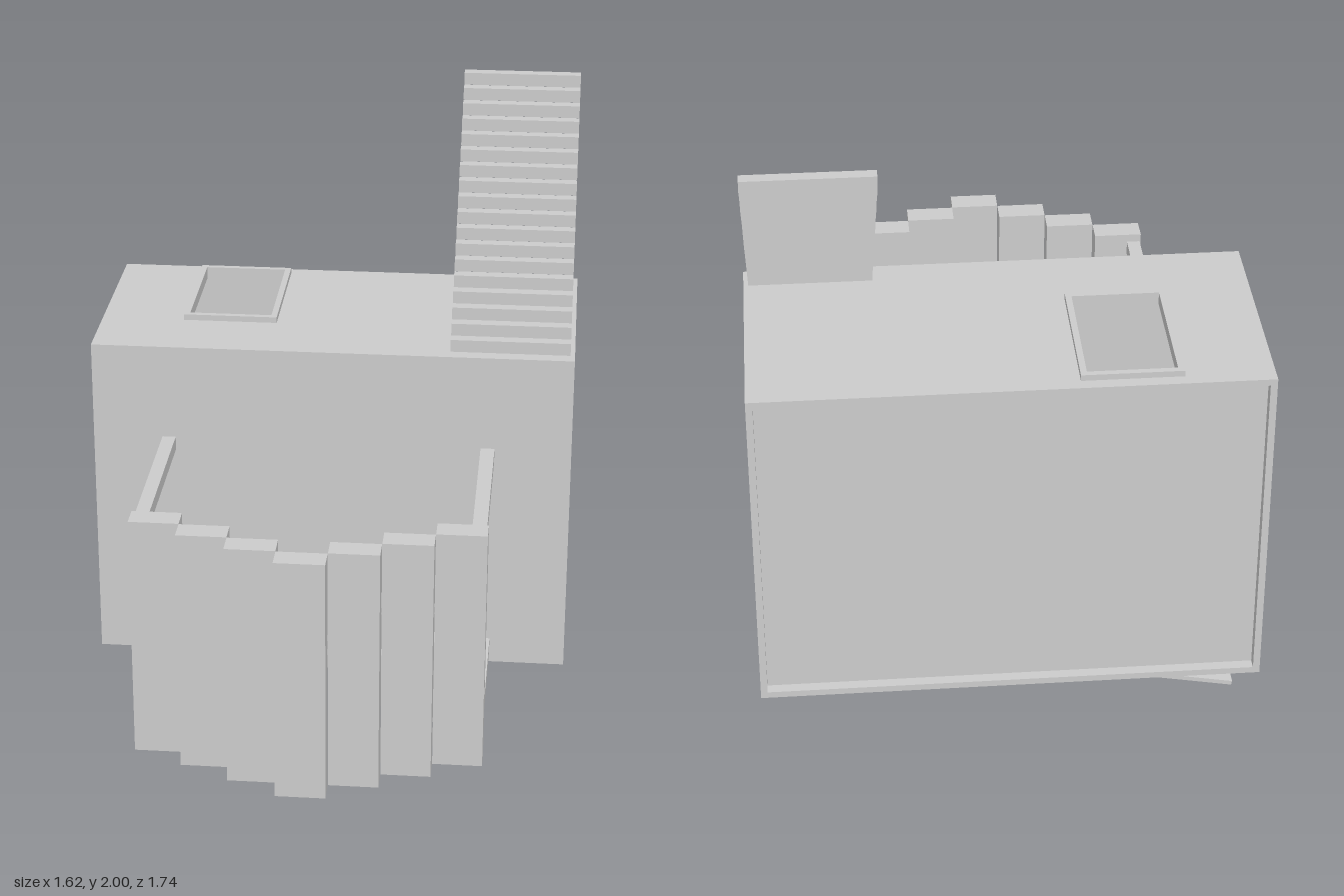
import * as THREE from 'three';

const material = new THREE.MeshStandardMaterial({ color: 0xcccccc, flatShading: true });

function add(parent, name, geometry) {
  const mesh = new THREE.Mesh(geometry, material);
  mesh.name = name;
  parent.add(mesh);
  return mesh;
}

// Box given by its limits on each axis
function block(parent, name, [x0, x1], [y0, y1], [z0, z1]) {
  const mesh = add(parent, name, new THREE.BoxGeometry(x1 - x0, y1 - y0, z1 - z0));
  mesh.position.set((x0 + x1) / 2, (y0 + y1) / 2, (z0 + z1) / 2);
  return mesh;
}

// Flat slab with rectangular holes; rectangles are [a0, a1, b0, b1]
function slab([a0, a1, b0, b1], holes, thickness) {
  const corners = (p, q, r, s) => [[p, r], [q, r], [q, s], [p, s]].map(c => new THREE.Vector2(...c));
  const shape = new THREE.Shape(corners(a0, a1, b0, b1));
  for (const h of holes) shape.holes.push(new THREE.Path(corners(...h).reverse()));
  return new THREE.ExtrudeGeometry(shape, { depth: thickness, bevelEnabled: false });
}

// Horizontal slab in x and z, with its top at the given height
function level(parent, name, rect, holes, thickness, top) {
  add(parent, name, slab(rect, holes, thickness).rotateX(Math.PI / 2)).position.y = top;
}

const inset = ([a, b, c, d], m) => [a + m, b - m, c + m, d - m];

export function createModel() {
  const model = new THREE.Group();
  const T = 0.022;
  const X = 0.81, BOTTOM = 0.10, TOP = 1.24, BACK = -0.87, FRONT = -0.10;

  // Hollow cabin with hatches in roof and floor and a window in the left wall
  const cabin = new THREE.Group();
  cabin.name = 'cabin';
  model.add(cabin);
  const plan = [-X, X, BACK, FRONT];
  const roofHatch = [-0.53, -0.21, -0.83, -0.35];
  const floorHatches = [[-0.45, -0.13, -0.83, -0.34], [0.09, 0.57, -0.66, -0.34]];
  level(cabin, 'roof', plan, [inset(roofHatch, 0.02)], T, TOP);
  level(cabin, 'floor', plan, floorHatches.map(h => inset(h, 0.02)), T, BOTTOM + T);
  const wallY = [BOTTOM + T, TOP - T];
  block(cabin, 'frontWall', [-X, X], wallY, [FRONT - T, FRONT]);
  block(cabin, 'rightWall', [-X, -X + T], wallY, [BACK, FRONT - T]);
  const leftWall = slab([BACK, FRONT - T, ...wallY], [[-0.82, -0.35, 0.45, 0.75]], T);
  add(cabin, 'leftWall', leftWall.rotateY(-Math.PI / 2)).position.x = X;
  block(cabin, 'backPanel', [-X + T, X - T], wallY, [-0.835, -0.82]);

  // Raised hatch rims
  level(cabin, 'roofHatchRim', roofHatch, [inset(roofHatch, 0.02)], 0.02, TOP + 0.02);
  for (const h of floorHatches) level(cabin, 'floorHatchRim', h, [inset(h, 0.02)], 0.02, BOTTOM);

  // Hatch door hanging open below the floor
  const door = add(model, 'hatchDoor', new THREE.BoxGeometry(0.31, 0.015, 0.45));
  door.position.set(-0.58, 0.04, -0.585);
  door.rotation.z = 0.19;

  // Stair climbing backwards above the roof
  const stair = new THREE.Group();
  stair.name = 'stair';
  model.add(stair);
  for (let i = 0; i < 18; i++) {
    const y = TOP + i * 0.0422, z = -0.148 - i * 0.0401;
    block(stair, 'step', [0.395, 0.795], [y, y + 0.042], [z - 0.04, z]);
  }

  // Stepped fence of seven planks, standing out in the middle
  const fence = new THREE.Group();
  fence.name = 'fence';
  model.add(fence);
  for (let i = -3; i <= 3; i++) {
    const x = -0.01 + i * 0.1625, z = 0.79 - Math.abs(i) * 0.0815;
    block(fence, 'plank', [x - 0.081, x + 0.081], [0.11, 0.94], [z, z + 0.08]);
  }

  // Rails tying the fence to the cabin, and low crossbars
  for (const x of [[-0.575, -0.53], [0.505, 0.552]]) {
    block(model, 'topRail', x, [0.865, 0.912], [FRONT, 0.55]);
    block(model, 'bottomRail', x, [0.142, 0.19], [FRONT, 0.55]);
  }
  for (const z of [-0.05, 0.05]) {
    block(model, 'crossbar', [-0.53, 0.505], [0.142, 0.19], [z - 0.022, z + 0.022]);
  }

  // Tumbled crates in four rows: [centre x, tilt in degrees]
  const rows = [
    [[-0.465, 13], [-0.28, 4], [0.225, -8], [0.4, -15]],
    [[-0.44, -4], [-0.255, -27], [0.22, 0], [0.39, 8]],
    [[-0.43, 17], [-0.25, 2], [0.215, 8], [0.38, 8]],
    [[-0.35, -27], [0.32, 10]],
  ];
  const S = 0.162;
  rows.forEach((row, r) => {
    for (const [x, degrees] of row) {
      const tilt = THREE.MathUtils.degToRad(degrees);
      const crate = add(model, 'crate', new THREE.BoxGeometry(S, S, S));
      const half = S / 2 * (Math.cos(tilt) + Math.abs(Math.sin(tilt)));
      crate.position.set(x, 0.195 + half, -0.022 + r * 0.1615);
      crate.rotation.z = tilt;
    }
  });
  return model;
}
